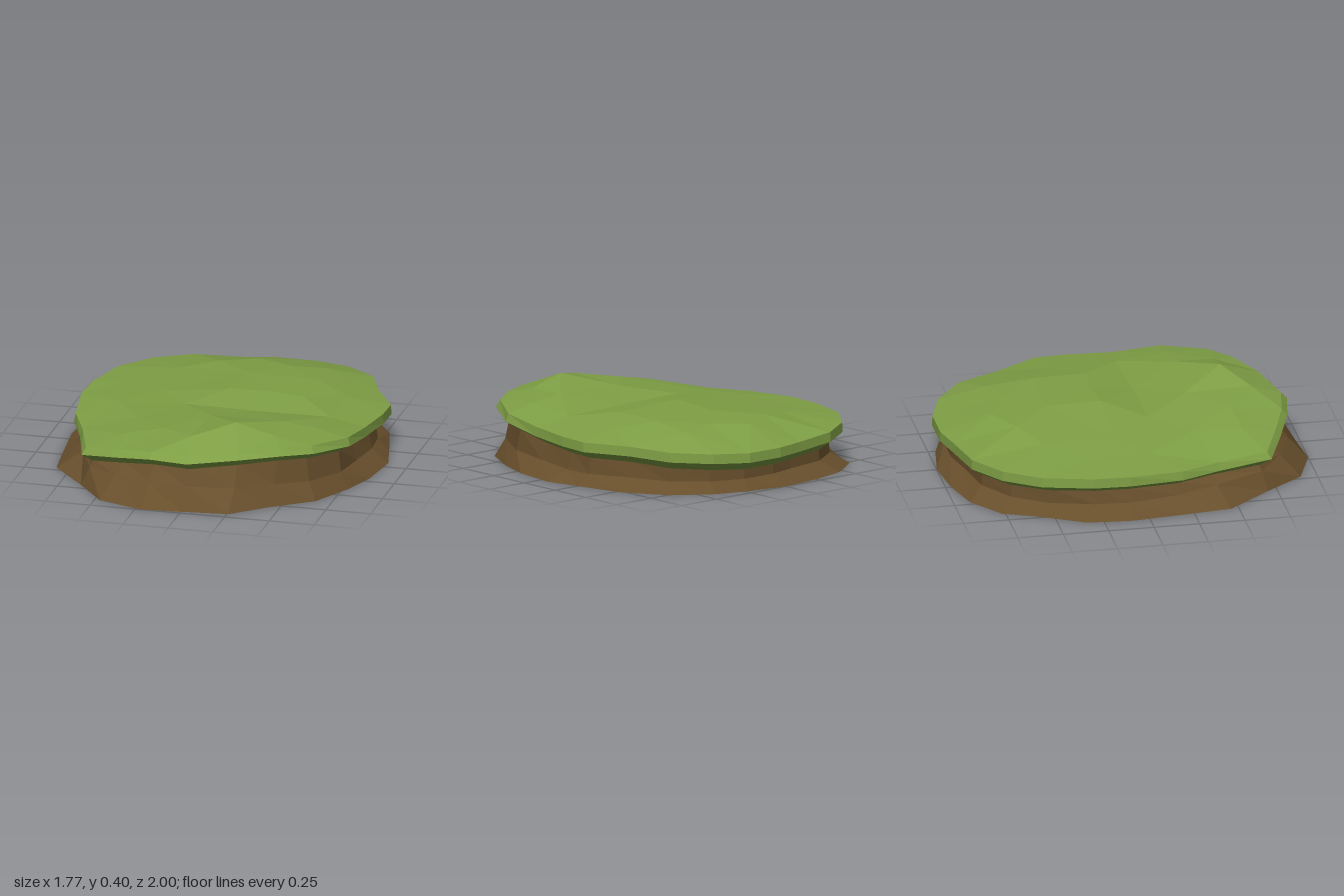
import * as THREE from 'three';
import { ConvexGeometry } from 'three/addons/geometries/ConvexGeometry.js';

// Grass outline, clockwise from the back: x, z, height of the rim's lower edge
const RIM = [
  [0.02, -0.98, 0.16], [0.24, -0.98, 0.16], [0.44, -0.91, 0.17], [0.62, -0.76, 0.18],
  [0.71, -0.53, 0.19], [0.84, -0.30, 0.195], [0.84, -0.13, 0.20], [0.81, 0.12, 0.21],
  [0.79, 0.39, 0.245], [0.65, 0.63, 0.27], [0.50, 0.74, 0.28], [0.29, 0.85, 0.275],
  [0.02, 0.93, 0.255], [-0.20, 0.89, 0.25], [-0.41, 0.81, 0.215], [-0.62, 0.72, 0.18],
  [-0.71, 0.42, 0.175], [-0.80, 0.20, 0.175], [-0.84, -0.10, 0.18], [-0.83, -0.30, 0.18],
  [-0.76, -0.57, 0.18], [-0.62, -0.76, 0.175], [-0.42, -0.89, 0.17], [-0.15, -0.94, 0.16],
];

// Foot of the earth bank, in the same order: x, z
const FOOT = [
  [0, -1], [0.24, -0.96], [0.42, -0.90], [0.62, -0.76], [0.77, -0.53], [0.84, -0.25],
  [0.885, -0.06], [0.85, 0.20], [0.78, 0.40], [0.66, 0.63], [0.44, 0.79], [0.26, 0.95],
  [0, 0.98], [-0.22, 1], [-0.47, 0.91], [-0.63, 0.70], [-0.83, 0.46], [-0.86, 0.20],
  [-0.89, -0.09], [-0.87, -0.34], [-0.73, -0.60], [-0.66, -0.77], [-0.47, -0.91], [-0.25, -0.97],
];

// Corners of the turf facets inside the rim: x, y, z
const HILLS = [
  [0.21, 0.40, 0.60], [0.41, 0.35, 0.38], [0, 0.35, 0.73], [-0.2, 0.325, 0.58],
  [-0.4, 0.285, 0.33], [0, 0.34, 0.36], [0.2, 0.30, 0.12], [-0.01, 0.335, -0.1],
  [0.2, 0.33, -0.12], [0.4, 0.325, -0.1], [0.4, 0.32, -0.4], [0, 0.325, -0.4],
  [-0.4, 0.285, -0.1], [-0.4, 0.28, -0.5], [0, 0.30, -0.7], [0.4, 0.295, -0.65],
  [-0.6, 0.26, 0.05], [0.6, 0.295, 0.1], [-0.2, 0.305, 0.12], [0.6, 0.285, -0.28],
  [-0.6, 0.255, -0.3], [-0.42, 0.28, 0.6], [0.42, 0.345, 0.6], [0.6, 0.325, 0.38],
  [-0.2, 0.305, -0.6], [0.2, 0.31, -0.6],
];

// Skin a list of closed rings, from the lowest to the highest
function loft(rings) {
  const n = rings[0].length, index = [];
  for (let r = 0; r < rings.length - 1; r++) {
    for (let i = 0; i < n; i++) {
      const a = r * n + i, b = r * n + (i + 1) % n;
      index.push(a, a + n, b + n, a, b + n, b);
    }
  }
  const geometry = new THREE.BufferGeometry();
  geometry.setAttribute('position', new THREE.Float32BufferAttribute(rings.flat(2), 3));
  geometry.setIndex(index);
  geometry.computeVertexNormals();
  return geometry;
}

// Even triangulation of the turf: the lower hull of the points lifted onto a bowl
function drape(edge, inner) {
  const points = [...edge, ...inner];
  const bowl = points.map(([x, , z]) => new THREE.Vector3(x, x * x + z * z, z));
  const hull = new ConvexGeometry(bowl).attributes.position;
  const corner = new THREE.Vector3();
  const positions = [];
  for (let f = 0; f < hull.count; f += 3) {
    const ids = [0, 1, 2].map((k) => {
      corner.fromBufferAttribute(hull, f + k);
      return bowl.findIndex((p) => p.distanceToSquared(corner) < 1e-8);
    });
    const turn = ([a, b, c]) => {
      const [p, q, r] = [points[a], points[b], points[c]];
      return (q[2] - p[2]) * (r[0] - p[0]) - (q[0] - p[0]) * (r[2] - p[2]);
    };
    if (turn(ids) >= 0) continue; // lid of the bowl
    const onEdge = ids.every((id) => id < edge.length);
    if (onEdge && turn([...ids].sort((a, b) => a - b)) > 0) continue; // notch outside the outline
    positions.push(...ids.reverse().flatMap((id) => points[id]));
  }
  const geometry = new THREE.BufferGeometry();
  geometry.setAttribute('position', new THREE.Float32BufferAttribute(positions, 3));
  geometry.computeVertexNormals();
  return geometry;
}

function makeMaterial(name, color) {
  return new THREE.MeshStandardMaterial({ name, color, flatShading: true, side: THREE.DoubleSide });
}

export function createModel() {
  const model = new THREE.Group();
  model.name = 'grassyMound';
  const addPart = (name, geometry, material) => {
    const mesh = new THREE.Mesh(geometry, material);
    mesh.name = name;
    model.add(mesh);
  };
  const grass = makeMaterial('grassGreen', 0x7f9f45);
  const earth = makeMaterial('earthBrown', 0x684f2c);

  // Grass rim: tucked-in lip and a band that leans back towards the front
  const lip = RIM.map(([x, z, y]) => {
    const s = 0.91 + 0.035 * z * z;
    return [x * s, y - 0.045, z * s];
  });
  const band = RIM.map(([x, z, y]) => [x, y, z]);
  const brow = RIM.map(([x, z, y]) => {
    const front = Math.max(0, z);
    const s = 0.997 - 0.035 * front;
    return [x * s, y + 0.053 - 0.02 * front, z * s];
  });
  addPart('grassRim', loft([lip, band, brow]), grass);

  // Faceted turf on top
  addPart('turf', drape(brow, HILLS), grass);

  // Earth bank: flared foot and a steep wall up to the lip, open below
  const foot = FOOT.map(([x, z]) => [x, 0, z]);
  const top = lip.map(([x, y, z]) => [x * 0.99, y + 0.005, z * 0.99]);
  const ledge = foot.map(([x, , z], i) => {
    const t = 0.8 - 0.18 * z;
    return [x + (top[i][0] - x) * t, 0.06 + 0.06 * Math.max(0, z), z + (top[i][2] - z) * t];
  });
  addPart('earthBank', loft([foot, ledge, top]), earth);

  return model;
}
